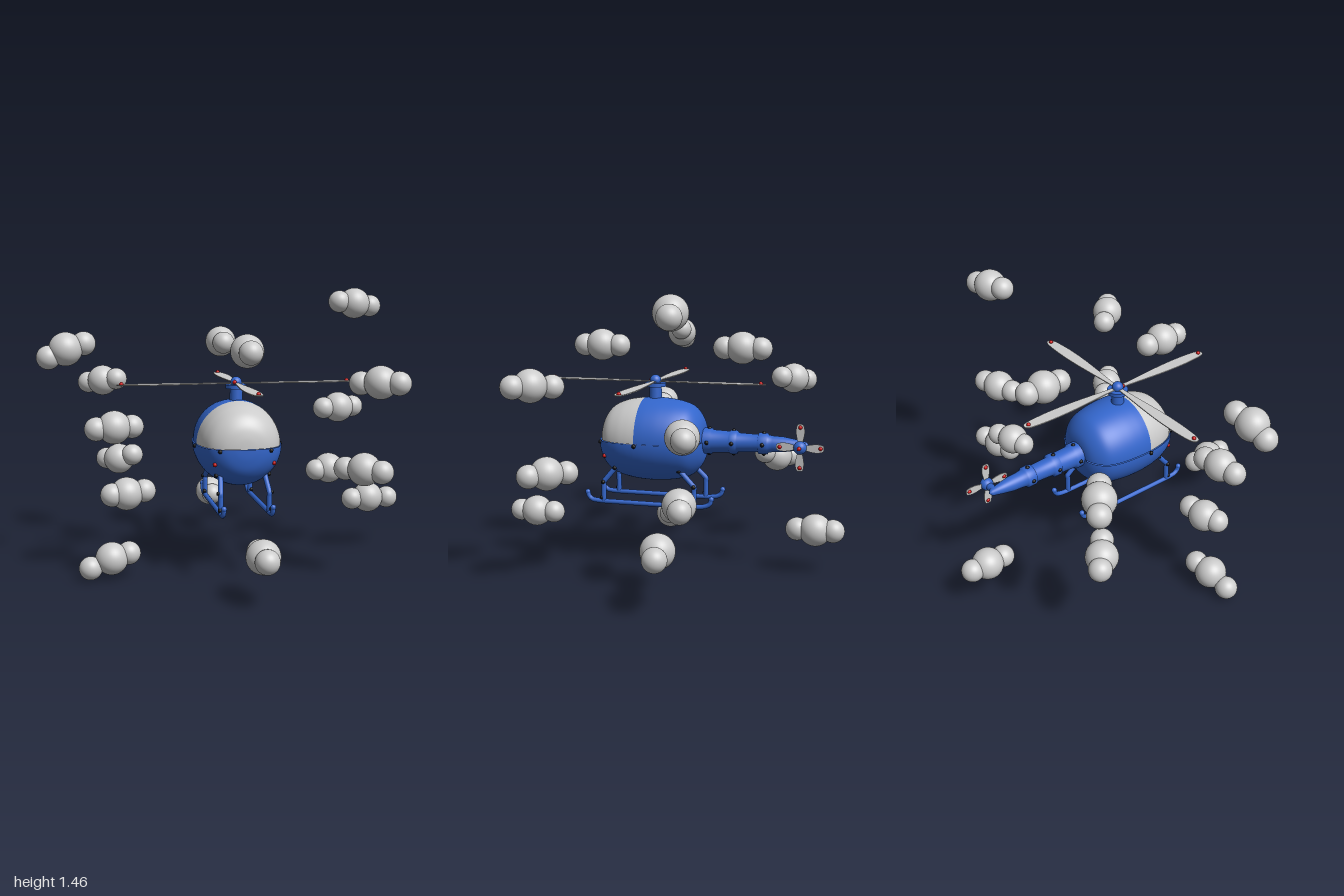
import * as THREE from 'three';

const mat = (color, side = THREE.FrontSide) => new THREE.MeshStandardMaterial({ color, side });
const grey = mat(0xcccccc);
const greyThin = mat(0xcccccc, THREE.DoubleSide);
const blue = mat(0x3366cc);
const blueShell = mat(0x3366cc, THREE.DoubleSide);
const red = mat(0xcc1111);
const black = mat(0x111111);

const CX = 0.015, CY = 0.675; // axis of the fuselage

function add(parent, name, geometry, material, x = 0, y = 0, z = 0) {
  const mesh = new THREE.Mesh(geometry, material);
  mesh.name = name;
  mesh.position.set(x, y, z);
  parent.add(mesh);
  return mesh;
}

const ball = (parent, name, r, material, x, y, z, n = 24) =>
  add(parent, name, new THREE.SphereGeometry(r, n, Math.ceil(n * 0.7)), material, x, y, z);
const rivet = (parent, material, x, y, z) => ball(parent, 'rivet', 0.011, material, x, y, z, 10);

// Lathe turned so its axis runs along z; points are [radius, z] from back to front
function latheZ(points, start = 0, length = Math.PI * 2) {
  const profile = points.map(([r, z]) => new THREE.Vector2(Math.max(r, 0), z));
  return new THREE.LatheGeometry(profile, 48, start, length).rotateX(Math.PI / 2);
}

const smooth = (points) =>
  new THREE.SplineCurve(points.map((p) => new THREE.Vector2(...p))).getPoints(36).map((p) => [p.x, p.y]);

const tube = (points, r, tension = 0.15) => new THREE.TubeGeometry(
  new THREE.CatmullRomCurve3(points.map((p) => new THREE.Vector3(...p)), false, 'catmullrom', tension), 40, r, 12);

// Blade lying in the xz plane, pointing along +x, widest near its tip
function bladeGeometry(length, width, thickness) {
  const s = new THREE.Shape();
  s.moveTo(0, -width * 0.12);
  s.bezierCurveTo(length * 0.3, -width * 0.3, length * 0.5, -width * 0.55, length * 0.75, -width * 0.5);
  s.bezierCurveTo(length * 0.95, -width * 0.42, length, -width * 0.35, length, 0);
  s.bezierCurveTo(length, width * 0.35, length * 0.95, width * 0.4, length * 0.75, width * 0.46);
  s.bezierCurveTo(length * 0.5, width * 0.5, length * 0.3, width * 0.25, 0, width * 0.12);
  return new THREE.ExtrudeGeometry(s, { depth: thickness, bevelEnabled: false, curveSegments: 10 })
    .translate(0, 0, -thickness / 2).rotateX(-Math.PI / 2);
}

function buildFuselage(parent) {
  const back = smooth([[0, -0.185], [0.08, -0.183], [0.135, -0.163], [0.182, -0.12],
    [0.205, -0.06], [0.217, 0.02], [0.22, 0.09], [0.218, 0.14]]);
  const front = smooth([[0.218, 0.14], [0.212, 0.19], [0.199, 0.245], [0.17, 0.305],
    [0.12, 0.345], [0.06, 0.362], [0, 0.366]]);
  const top = [Math.PI / 2, Math.PI];
  add(parent, 'upperHull', latheZ(back, ...top), blueShell, CX, CY, 0);
  add(parent, 'canopy', latheZ(front, ...top), greyThin, CX, CY, 0);
  const lower = add(parent, 'lowerHull', latheZ([...back, ...front.slice(1)], -Math.PI / 2, Math.PI), blueShell, CX, CY, 0);
  lower.scale.set(1.025, 1, 1.025);
  for (const s of [-1, 1]) {
    rivet(parent, black, CX + s * 0.225, 0.665, 0.135);
    rivet(parent, black, CX + s * 0.13, 0.665, 0.35);
    rivet(parent, red, CX + s * 0.152, 0.595, 0.32);
  }
}

function buildTail(parent) {
  const boom = [[0, -0.735], [0.018, -0.72], [0.03, -0.66], [0.04, -0.6], [0.042, -0.55], [0.046, -0.525],
    [0.055, -0.52], [0.055, -0.475], [0.046, -0.47], [0.05, -0.365], [0.062, -0.36], [0.062, -0.325],
    [0.056, -0.32], [0.06, -0.23], [0.068, -0.225], [0.068, -0.17]];
  add(parent, 'tailBoom', latheZ(boom), blue, CX, CY, 0);
  for (const [z, r] of [[-0.21, 0.066], [-0.34, 0.06], [-0.5, 0.054]])
    for (let i = 0; i < 4; i++) {
      const a = i * Math.PI / 2;
      rivet(parent, black, CX + r * Math.cos(a), CY + r * Math.sin(a), z);
    }

  // Side arm carrying the four-bladed tail rotor
  add(parent, 'tailArm', new THREE.CylinderGeometry(0.018, 0.022, 0.08, 16).rotateZ(-Math.PI / 2), blue, 0.055, CY, -0.7);
  const rotor = new THREE.Group();
  rotor.name = 'tailRotor';
  rotor.position.set(0.09, CY, -0.7);
  rotor.rotation.z = -Math.PI / 2;
  ball(rotor, 'tailHub', 0.034, blue, 0, 0, 0);
  rivet(rotor, red, 0, 0.033, 0);
  for (let i = 0; i < 4; i++) {
    const arm = new THREE.Group();
    arm.name = 'tailBlade';
    arm.rotation.y = i * Math.PI / 2;
    add(arm, 'blade', bladeGeometry(0.122, 0.046, 0.004), greyThin);
    rivet(arm, red, 0.104, 0, 0);
    rotor.add(arm);
  }
  parent.add(rotor);
}

function buildMainRotor(parent) {
  const z = 0.085;
  add(parent, 'mast', new THREE.CylinderGeometry(0.032, 0.034, 0.1, 24), blue, CX, 0.92, z);
  add(parent, 'mastPlate', new THREE.CylinderGeometry(0.055, 0.055, 0.02, 32), blue, CX, 0.963, z);
  ball(parent, 'rotorHub', 0.03, blue, CX, 0.985, z);
  rivet(parent, red, CX - 0.012, 0.987, z + 0.025);
  for (let i = 0; i < 4; i++) {
    const length = i % 2 ? 0.59 : 0.62;
    const arm = new THREE.Group();
    arm.name = 'mainBlade';
    arm.position.set(CX, 0.98, z);
    arm.rotation.y = i * Math.PI / 2;
    add(arm, 'blade', bladeGeometry(length, 0.072, 0.005), greyThin);
    rivet(arm, red, length - 0.025, 0.005, 0);
    parent.add(arm);
  }
}

function buildSkids(parent) {
  for (const s of [-1, 1]) {
    const x = CX + s * 0.125;
    add(parent, 'skid', tube([[x, 0.39, 0.425], [x, 0.365, 0.418], [x, 0.35, 0.395], [x, 0.345, 0.33],
      [x, 0.345, -0.17], [x, 0.352, -0.225], [x, 0.365, -0.246], [x, 0.39, -0.253]], 0.013), blue);
    for (const z of [0.425, -0.253]) ball(parent, 'skidTip', 0.015, blue, x, 0.39, z, 12);
    for (const [za, zb] of [[0.27, 0.335], [-0.08, -0.16]]) {
      add(parent, 'skidLeg', tube([[x - s * 0.01, 0.53, za], [x, 0.45, zb], [x, 0.43, zb], [x, 0.345, zb]], 0.014), blue);
      rivet(parent, black, x + s * 0.012, 0.45, zb);
      rivet(parent, black, x + s * 0.006, 0.365, zb + 0.01);
      rivet(parent, black, x + s * 0.012, 0.53, za);
    }
  }
}

// Clouds: centre, then the two smaller end puffs
const CLOUDS = [
  [[0.735, 1.38, -0.208], [0.645, 1.39, -0.19], [0.83, 1.365, -0.228]],
  [[-0.86, 1.175, 0.185], [-0.945, 1.135, 0.19], [-0.77, 1.2, 0.165]],
  [[-0.635, 0.945, -0.54], [-0.712, 0.93, -0.6], [-0.563, 0.957, -0.485]],
  [[-0.63, 0.785, 0.23], [-0.72, 0.78, 0.24], [-0.54, 0.785, 0.21]],
  [[-0.555, 0.505, -0.465], [-0.62, 0.5, -0.525], [-0.485, 0.535, -0.41]],
  [[-0.57, 0.44, 0.2], [-0.645, 0.44, 0.22], [-0.48, 0.45, 0.185]],
  [[0.655, 1.015, 0.52], [0.58, 1.005, 0.437], [0.73, 1.015, 0.58]],
  [[0.66, 0.8, -0.242], [0.57, 0.8, -0.215], [0.75, 0.8, -0.272]],
  [[0.595, 0.575, 0.468], [0.52, 0.57, 0.393], [0.665, 0.57, 0.535]],
  [[0.6, 0.46, -0.21], [0.525, 0.455, -0.19], [0.7, 0.453, -0.24]],
  [[0.82, 0.293, -0.17], [0.725, 0.29, -0.155], [0.938, 0.285, -0.19]],
  [[-0.65, 0.105, 0.195], [-0.758, 0.063, 0.21], [-0.56, 0.125, 0.175]],
  [[CX, 1.167, 0.38], [CX, 1.165, 0.474], [CX, 1.165, 0.285]],
  [[CX, 1.167, -0.382], [CX, 1.165, -0.478], [CX, 1.165, -0.288]],
  [[CX, 0.235, 0.775], [CX, 0.235, 0.867], [CX, 0.235, 0.675]],
  [[CX, 0.235, -0.775], [CX, 0.235, -0.867], [CX, 0.235, -0.68]],
];

export function createModel() {
  const model = new THREE.Group();
  model.name = 'helicopterAmongClouds';
  const helicopter = new THREE.Group();
  helicopter.name = 'helicopter';
  model.add(helicopter);
  buildFuselage(helicopter);
  buildTail(helicopter);
  buildMainRotor(helicopter);
  buildSkids(helicopter);

  for (const puffs of CLOUDS) {
    const cloud = new THREE.Group();
    cloud.name = 'cloud';
    puffs.forEach((p, i) => ball(cloud, i ? 'endPuff' : 'middlePuff', i ? 0.06 : 0.084, grey, ...p, 32));
    model.add(cloud);
  }
  return model;
}
